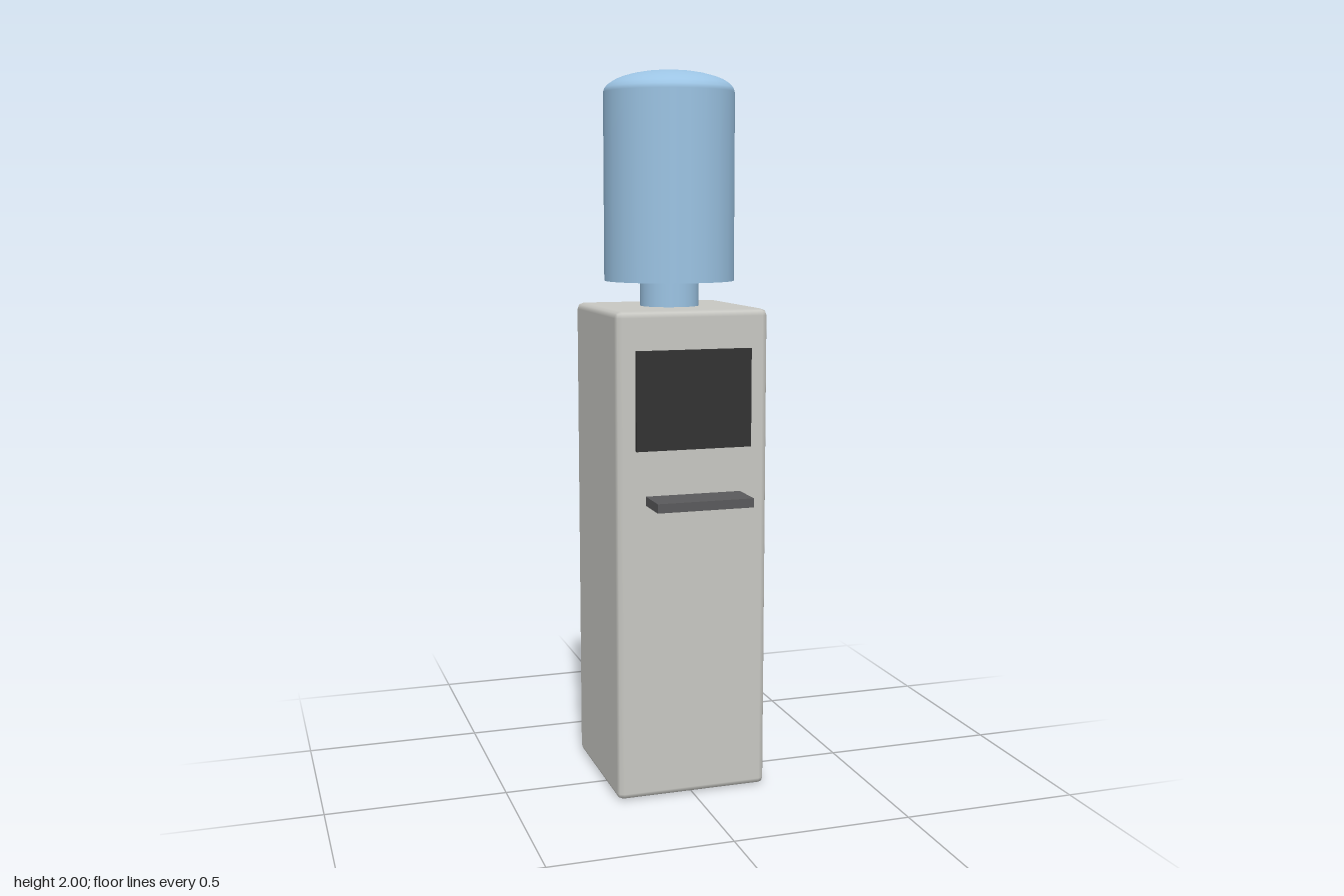
import * as THREE from 'three';
import { RoundedBoxGeometry } from 'three/addons/geometries/RoundedBoxGeometry.js';

const material = (name, color) => {
  const m = new THREE.MeshStandardMaterial({ color });
  m.name = name;
  return m;
};

export function createModel() {
  const group = new THREE.Group();
  group.name = 'waterDispenser';

  const casing = material('warm light grey', 0xc8c8c3);
  const water = material('water blue', 0x9cc4e4);
  const black = material('panel black', 0x333333);
  const grey = material('tray grey', 0x5a5a5c);

  const add = (name, geometry, mat, x, y, z) => {
    const mesh = new THREE.Mesh(geometry, mat);
    mesh.name = name;
    mesh.position.set(x, y, z);
    group.add(mesh);
    return mesh;
  };

  const axisZ = -0.056; // shared centre line of cabinet and bottle
  const height = 1.355;

  // Cabinet with softly rounded edges
  add('cabinet', new RoundedBoxGeometry(0.432, height, 0.432, 1, 0.018), casing, 0, height / 2, axisZ);

  // Front panel and drip tray
  add('frontPanel', new THREE.BoxGeometry(0.326, 0.27, 0.022), black, 0, 1.115, 0.16);
  add('dripTray', new THREE.BoxGeometry(0.27, 0.025, 0.12), grey, 0, 0.843, 0.21);

  // Upturned bottle: neck, barrel and shallow domed base
  const radius = 0.182, domeY = 1.94;
  add('bottleNeck', new THREE.CylinderGeometry(0.082, 0.082, 0.09, 24), water, 0, 1.385, axisZ);
  add('bottleBarrel', new THREE.CylinderGeometry(radius, radius, domeY - 1.425, 24), water, 0, (domeY + 1.425) / 2, axisZ);
  const dome = new THREE.SphereGeometry(radius, 24, 8, 0, Math.PI * 2, 0, Math.PI / 2);
  dome.scale(1, (2 - domeY) / radius, 1);
  add('bottleDome', dome, water, 0, domeY, axisZ);

  return group;
}
